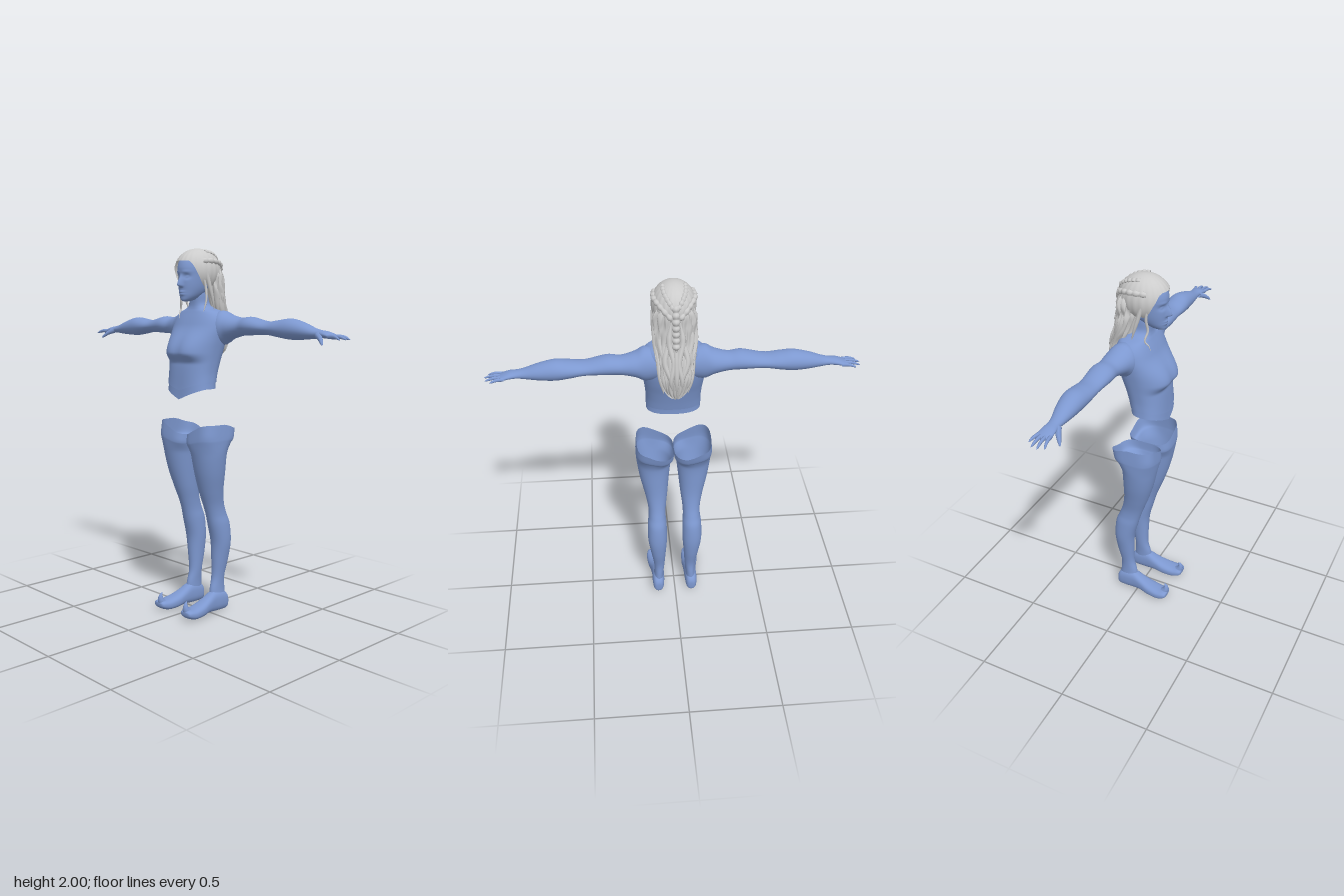
import * as THREE from 'three';

const skin = new THREE.MeshStandardMaterial({ color: 0x7d98d0, side: THREE.DoubleSide });
const hairMat = new THREE.MeshStandardMaterial({ color: 0xcccccc, side: THREE.DoubleSide });
const { smoothstep, lerp } = THREE.MathUtils;
const bell = (v, c, w) => Math.exp(-(((v - c) / w) ** 2));
const pw = (v, p) => Math.sign(v) * Math.abs(v) ** p;

// Smooth interpolation of every column of a key table
function sample(keys, t) {
  const n = keys.length - 1, u = t * n, i = Math.min(Math.floor(u), n - 1), f = u - i;
  const k = (j) => keys[Math.max(0, Math.min(n, j))];
  return k(i).map((b, c) => {
    const a = k(i - 1)[c], d = k(i + 1)[c], e = k(i + 2)[c];
    return b + 0.5 * f * (d - a + f * (2 * a - 5 * b + 4 * d - e + f * (3 * (b - d) + e - a)));
  });
}

// Closed rings swept along t; point(t, angle) gives [x, y, z]
function rings(point, rows, segs) {
  const pos = [], idx = [];
  for (let i = 0; i <= rows; i++)
    for (let j = 0; j < segs; j++) pos.push(...point(i / rows, (j / segs) * Math.PI * 2));
  for (let i = 0; i < rows; i++)
    for (let j = 0; j < segs; j++) {
      const a = i * segs + j, b = i * segs + ((j + 1) % segs);
      idx.push(a, a + segs, b, b, a + segs, b + segs);
    }
  const g = new THREE.BufferGeometry();
  g.setAttribute('position', new THREE.Float32BufferAttribute(pos, 3));
  g.setIndex(idx);
  g.computeVertexNormals();
  return g;
}

// Upright body section; key = [y, halfWidth, zFront, zBack]
const upright = (keys, rows, segs, p = 1, shape = (v) => v) => rings((t, a) => {
  const [y, w, zf, zb] = sample(keys, t);
  return shape([w * pw(Math.cos(a), p), y, (zf + zb) / 2 + ((zf - zb) / 2) * pw(Math.sin(a), p)], a);
}, rows, segs);

// Tapered strand along a curve; radius(t)
function strand(points, radius, n = 24, m = 8) {
  const curve = new THREE.CatmullRomCurve3(points.map((p) => new THREE.Vector3(...p)));
  const g = new THREE.TubeGeometry(curve, n, 1, m), pos = g.attributes.position;
  const v = new THREE.Vector3();
  for (let i = 0; i < pos.count; i++) {
    const t = Math.floor(i / (m + 1)) / n, c = curve.getPointAt(t);
    v.fromBufferAttribute(pos, i).sub(c).multiplyScalar(radius(t)).add(c);
    pos.setXYZ(i, v.x, v.y, v.z);
  }
  g.computeVertexNormals();
  return g;
}
const rounded = (r0, r1) => (t) => lerp(r0, r1, t) * Math.sqrt(Math.max(0, 1 - t ** 6));

function mirrored(g) {
  const m = g.clone().scale(-1, 1, 1), ix = m.index.array;
  for (let i = 0; i < ix.length; i += 3) [ix[i], ix[i + 1]] = [ix[i + 1], ix[i]];
  m.computeVertexNormals();
  return m;
}

export function createModel() {
  const model = new THREE.Group();
  const add = (name, g, mat = skin) => {
    const mesh = new THREE.Mesh(g, mat);
    mesh.name = name;
    model.add(mesh);
  };
  const pair = (name, g, mat) => {
    add('left' + name, g, mat);
    add('right' + name, mirrored(g), mat);
  };

  // Fitted top with bust, shoulders and neck; the hem dips at the front
  add('torso', upright([
    [1.29, .147, .139, -.056], [1.34, .146, .134, -.068], [1.40, .151, .127, -.085], [1.46, .159, .121, -.105],
    [1.52, .168, .108, -.119], [1.58, .174, .085, -.125], [1.63, .166, .064, -.125], [1.665, .135, .048, -.112],
    [1.685, .08, .04, -.088], [1.71, .054, .037, -.068], [1.76, .05, .04, -.055], [1.82, .045, .04, -.055],
  ], 90, 72, 0.82, ([x, y, z], a) => {
    const front = Math.max(0, Math.sin(a));
    const bust = smoothstep(y, 1.39, 1.45) * (1 - smoothstep(y, 1.455, 1.6));
    const across = (1 - 0.2 * bell(x, 0, 0.03)) / (1 + (x / 0.125) ** 6);
    const dip = 0.04 * front * Math.max(0, 1 - Math.abs(x) / 0.16) * (1 - smoothstep(y, 1.29, 1.38));
    return [x, y - dip, z + 0.04 * bust * across * Math.min(1, front * 1.6)];
  }));

  // Bare waist below the hem, pointed at the front
  add('waist', upright([[1.258, .145, .138, -.05], [1.30, .142, .134, -.054], [1.36, .143, .128, -.07]],
    12, 72, 0.82, ([x, y, z], a) => {
      const v = Math.max(0, 1 - Math.abs(x) / 0.145) * smoothstep(Math.sin(a), 0, 0.5);
      return [x, y - 0.058 * v * (1 - smoothstep(y, 1.258, 1.36)), z];
    }));

  // Arms; key = [x, yTop, yBottom, zFront, zBack]
  const arm = [
    [.08, 1.66, 1.50, .01, -.12], [.15, 1.672, 1.49, .025, -.13], [.2, 1.65, 1.52, .01, -.135],
    [.27, 1.635, 1.54, -.01, -.13], [.34, 1.64, 1.545, -.005, -.135], [.45, 1.618, 1.548, -.015, -.13],
    [.53, 1.626, 1.537, -.015, -.137], [.6, 1.633, 1.528, -.018, -.138], [.68, 1.615, 1.53, -.025, -.125],
    [.75, 1.59, 1.536, -.035, -.106], [.79, 1.58, 1.54, -.038, -.1], [.83, 1.574, 1.54, -.033, -.105],
    [.87, 1.56, 1.536, -.035, -.108], [.885, 1.553, 1.538, -.05, -.095], [.888, 1.546, 1.546, -.07, -.07],
  ];
  pair('Arm', rings((t, a) => {
    const [x, yt, yb, zf, zb] = sample(arm, t);
    return [x, (yt + yb) / 2 + ((yt - yb) / 2) * Math.cos(a), (zf + zb) / 2 - ((zf - zb) / 2) * Math.sin(a)];
  }, 84, 28));

  // Fingers and thumb
  [[-.043, .94, 1.535, -.025], [-.062, .957, 1.536, -.055], [-.081, .952, 1.536, -.087], [-.099, .925, 1.54, -.115]]
    .forEach(([z, x, y, zt], i) => pair('Finger' + (i + 1), strand(
      [[.855, 1.549, z], [lerp(.86, x, .5), 1.549, lerp(z, zt, .45)], [x, y, zt]], rounded(.0105, .006), 12)));
  pair('Thumb', strand([[.79, 1.555, -.045], [.825, 1.538, -.022], [.858, 1.508, .004]], rounded(.017, .007), 12));

  // Legs, open at the top; key = [y, xInner, xOuter, zFront, zBack]
  const leg = [
    [.07, .068, .128, -.005, -.115], [.13, .066, .122, -.012, -.112], [.2, .06, .124, -.03, -.11],
    [.3, .053, .14, -.03, -.13], [.4, .046, .155, -.025, -.14], [.5, .046, .155, .0, -.132],
    [.56, .05, .148, .016, -.11], [.62, .047, .15, .036, -.09], [.7, .037, .166, .065, -.076],
    [.8, .027, .189, .095, -.073], [.9, .016, .205, .116, -.076], [.97, .005, .21, .125, -.095],
    [1.0, .001, .21, .126, -.112], [1.07, 0, .205, .12, -.126],
  ];
  pair('Leg', rings((t, a) => {
    const [y, xi, xo, zf, zb] = sample(leg, t), p = lerp(0.95, 0.62, smoothstep(y, .9, 1.02));
    const x = (xi + xo) / 2 + ((xo - xi) / 2) * pw(Math.cos(a), p);
    const z = (zf + zb) / 2 + ((zf - zb) / 2) * pw(Math.sin(a), p);
    const top = 1.005 + 0.065 * smoothstep(x, 0, 0.19) - 0.03 * smoothstep(-z, 0, 0.12) * smoothstep(x, 0, .1);
    return [x, y > 0.9 ? 0.9 + ((y - 0.9) / 0.17) * (top - 0.9) : y, z];
  }, 84, 40));

  // Feet; key = [z, xInner, xOuter, yTop, yBottom]
  const foot = [
    [-.131, .1, .1, .045, .045], [-.128, .08, .118, .075, .015], [-.11, .068, .13, .1, .003],
    [-.07, .063, .134, .118, .002], [-.02, .062, .134, .118, .004], [.03, .06, .14, .094, .008],
    [.08, .057, .15, .074, .002], [.14, .06, .156, .062, .002], [.18, .066, .152, .062, .014],
    [.197, .078, .14, .055, .028], [.2, .105, .105, .045, .045],
  ];
  pair('Foot', rings((t, a) => {
    const [z, xi, xo, yt, yb] = sample(foot, t);
    return [(xi + xo) / 2 + ((xo - xi) / 2) * pw(Math.cos(a), .8),
      (yt + yb) / 2 - ((yt - yb) / 2) * pw(Math.sin(a), .8), z];
  }, 50, 32));
  pair('CurledToe', strand([[.105, .035, .165], [.104, .065, .184], [.103, .09, .186], [.102, .108, .176]],
    (t) => 0.028 * (1 - t) ** 0.7, 16, 12));

  // Head with nose, lips, brow and eye hollows
  add('head', upright([
    [1.72, .001, .09, .085], [1.725, .022, .11, .045], [1.745, .042, .115, -.0], [1.775, .058, .117, -.05],
    [1.81, .068, .12, -.08], [1.86, .075, .121, -.1], [1.9, .077, .122, -.108], [1.94, .07, .106, -.1],
    [1.97, .045, .07, -.07], [1.98, .001, .0, -.002],
  ], 90, 120, 0.92, ([x, y, z], a) => {
    if (Math.sin(a) <= 0) return [x, y, z];
    const ax = Math.abs(x);
    const nose = bell(x, 0, .012) * smoothstep(y, 1.79, 1.805) * (1 - smoothstep(y, 1.805, 1.87));
    const lips = bell(x, 0, .02) * (bell(y, 1.77, .006) + bell(y, 1.757, .006));
    const eye = bell(ax, .033, .016) * bell(y, 1.85, .012), ball = bell(ax, .033, .009) * bell(y, 1.849, .006);
    const brow = bell(ax, .033, .025) * bell(y, 1.874, .008);
    return [x, y, z + .027 * nose + .006 * lips - .012 * eye + .007 * ball + .003 * brow];
  }));
  const ear = new THREE.SphereGeometry(1, 16, 12).scale(.012, .034, .019).rotateX(-.25).translate(.08, 1.825, .005);
  pair('Ear', ear);

  // Hair cap with a hairline that frames the face
  add('hairCap', rings((t, a) => {
    const s = Math.sin(a), edge = lerp(1.12, 2.3, smoothstep(-s, -0.93, -0.25));
    const th = edge * (1 - t), r = Math.sin(th) * (1 + 0.012 * Math.sin(a * 22) * Math.sin(th));
    return [.111 * r * Math.cos(a), 1.88 + .12 * Math.cos(th), .136 * r * s];
  }, 40, 96), hairMat);

  // Long hair falling down the back, grooved into waves
  add('backHair', upright([
    [1.43, .02, -.145, -.168], [1.47, .055, -.128, -.18], [1.55, .078, -.11, -.186], [1.64, .095, -.068, -.172],
    [1.72, .107, -.035, -.142], [1.80, .107, -.008, -.135], [1.87, .1, -.01, -.13], [1.92, .06, -.03, -.1],
  ], 60, 96, 0.9, ([x, y, z], a) => {
    const g = 1 + 0.06 * Math.sin(a * 13 + 2 * Math.sin(y * 26));
    return [x * g, y, z - 0.006 * Math.sin(a * 17 + y * 22)];
  }), hairMat);

  // Loose locks over the back hair with uneven ends
  for (let i = -4; i <= 4; i++) {
    const x = i * 0.021, w = 0.012 * Math.sin(i * 2.3), arc = 0.045 * (i / 4) ** 2;
    add('backLock', strand([
      [x * 1.05, 1.84, -.13 + arc * 1.4], [x * 1.15 + w, 1.74, -.143 + arc * 1.2], [x * 1.05 - w, 1.64, -.172 + arc],
      [x * .9 + w, 1.54, -.188 + arc * .7], [x * .72, 1.44 + 0.025 * Math.abs(Math.sin(i * 1.7)), -.168 + arc * .3],
    ], (t) => 0.015 * Math.min(1, 4 * t + .2) * (1 - t ** 5), 36), hairMat);
  }

  // Braids sweeping back from the temples and joining behind
  const plait = (r) => (t) => r * (0.72 + 0.4 * Math.abs(Math.sin(t * 24))) * Math.min(1, (1 - t) * 8);
  pair('SideBraid', strand([[.092, 1.93, .05], [.1, 1.93, -.03], [.072, 1.915, -.098], [.03, 1.875, -.132],
    [.0, 1.845, -.138]], plait(.014), 72), hairMat);
  pair('UpperBraid', strand([[.055, 1.982, .0], [.052, 1.97, -.06], [.03, 1.94, -.11], [0, 1.9, -.135]],
    plait(.012), 60), hairMat);
  add('centreBraid', strand([[0, 1.93, -.122], [0, 1.86, -.143], [0, 1.78, -.148], [0, 1.69, -.165]],
    plait(.018), 72), hairMat);

  // Thin strands beside the face
  const wisp = (t) => 0.007 * (1 - t ** 4);
  add('rightWisp', strand([[-.085, 1.87, .06], [-.087, 1.8, .045], [-.076, 1.73, .05], [-.09, 1.68, .04],
    [-.08, 1.65, .06], [-.077, 1.62, .066]], wisp), hairMat);
  add('leftWisp', strand([[.088, 1.87, .05], [.094, 1.8, .03], [.1, 1.73, .03], [.092, 1.66, .045]], wisp), hairMat);
  pair('SideLock', strand([[.096, 1.88, .03], [.102, 1.8, .008], [.104, 1.74, -.01], [.1, 1.67, -.03]],
    (t) => 0.012 * (1 - t ** 3)), hairMat);

  return model;
}
